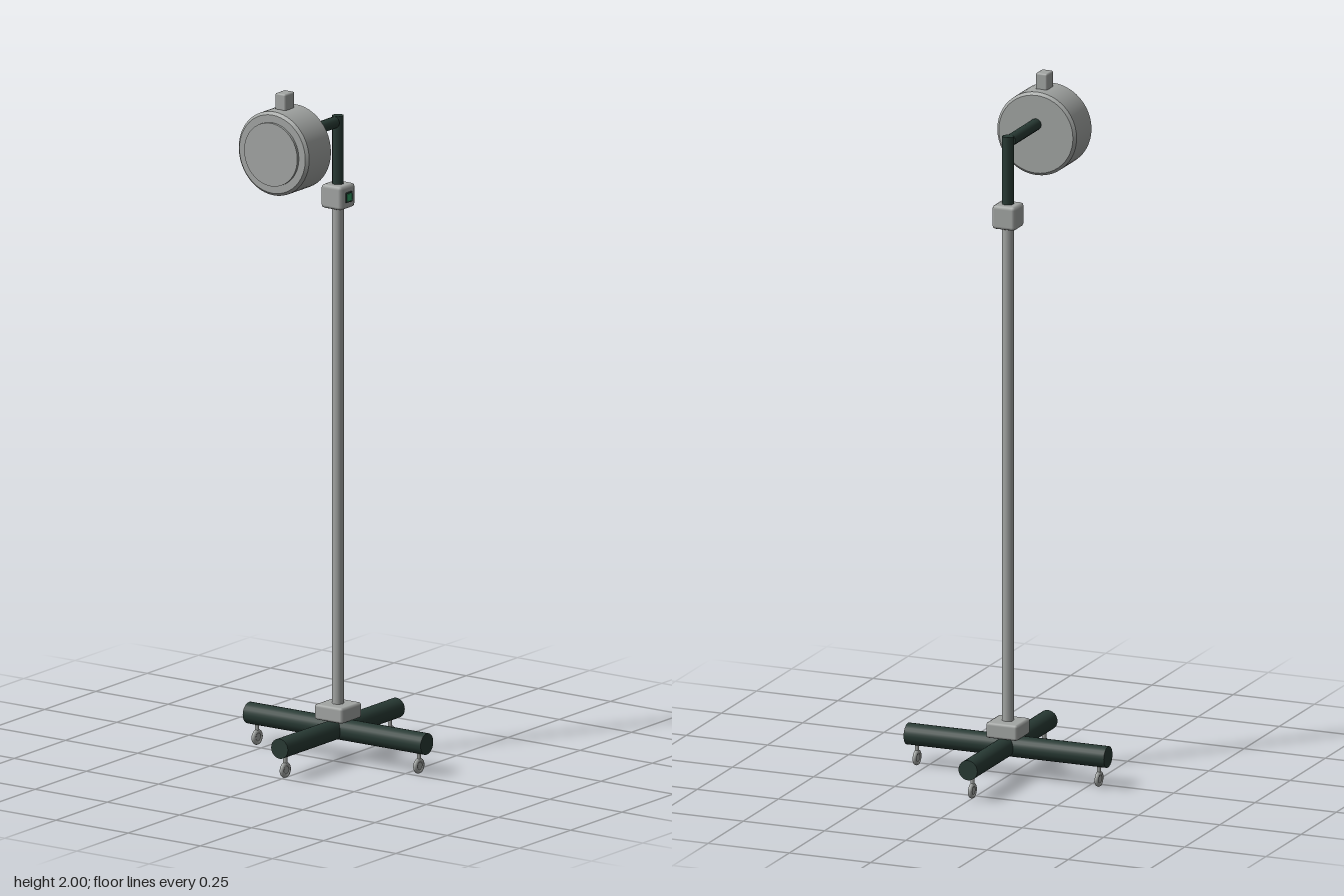
import * as THREE from 'three';
import { RoundedBoxGeometry } from 'three/addons/geometries/RoundedBoxGeometry.js';

export function createModel() {
  const model = new THREE.Group();
  model.name = 'standLamp';
  const mat = (name, color) => {
    const m = new THREE.MeshStandardMaterial({ color });
    m.name = name;
    return m;
  };
  const grey = mat('greyMetal', 0xa3a6a4);
  const dark = mat('darkGreenMetal', 0x283a34);
  const green = mat('greenButton', 0x2f9a62);
  const PZ = -0.023; // the pole stands slightly behind the centre

  const add = (name, geo, material, x, y, z, parent = model) => {
    const mesh = new THREE.Mesh(geo, material);
    mesh.name = name;
    mesh.position.set(x, y, z);
    parent.add(mesh);
    return mesh;
  };
  const rod = (r, length, axis = 'y', sides = 16) => {
    const g = new THREE.CylinderGeometry(r, r, length, sides);
    if (axis === 'x') g.rotateZ(Math.PI / 2);
    if (axis === 'z') g.rotateX(Math.PI / 2);
    return g;
  };
  const block = (w, h, d, bevel) => new RoundedBoxGeometry(w, h, d, 1, bevel);

  // Crossed feet
  add('sideFoot', rod(0.031, 0.616, 'x', 24), dark, 0, 0.09, PZ);
  add('lengthFoot', rod(0.029, 0.57, 'z', 24), dark, 0, 0.09, PZ);

  // Casters below the four ends and their forks
  for (const [x, z] of [[0.28, PZ], [-0.28, PZ], [0, 0.234], [0, -0.276]]) {
    const caster = new THREE.Group();
    caster.name = 'caster';
    caster.position.set(x, 0, z);
    model.add(caster);
    add('stem', rod(0.006, 0.026, 'y', 10), grey, 0, 0.054, 0, caster);
    const tyre = new THREE.TorusGeometry(0.0165, 0.0065, 8, 20);
    tyre.rotateY(Math.PI / 2);
    add('tyre', tyre, grey, 0, 0.023, 0, caster);
    add('hub', rod(0.014, 0.008, 'x', 16), grey, 0, 0.023, 0, caster);
  }

  // Base block, pole and collar
  add('baseBlock', block(0.098, 0.046, 0.098, 0.008), grey, 0, 0.141, PZ);
  add('pole', rod(0.017, 1.48, 'y', 12), grey, 0, 0.89, PZ);
  add('collar', block(0.072, 0.07, 0.072, 0.01), grey, 0, 1.645, PZ);

  // Button on the collar's left side
  add('buttonFrame', block(0.008, 0.03, 0.03, 0.002), dark, 0.036, 1.645, PZ);
  add('button', block(0.006, 0.022, 0.024, 0.002), green, 0.039, 1.645, PZ);

  // Bent arm
  add('armPost', rod(0.017, 0.21, 'y', 10), dark, 0, 1.773, PZ);
  add('armBeam', rod(0.017, 0.19, 'z', 12), dark, 0, 1.861, 0.088);

  // Drum-shaped head with bevelled rims
  const profile = [[0, 0], [0.114, 0], [0.114, 0], [0.122, 0.008], [0.122, 0.008],
    [0.122, 0.114], [0.122, 0.114], [0.114, 0.122], [0.114, 0.122], [0, 0.122]];
  // Each profile section is its own lathe, so the rim edges stay crisp
  const head = new THREE.Group();
  head.name = 'lampHead';
  head.position.set(0, 1.832, 0.175);
  head.rotation.x = Math.PI / 2;
  model.add(head);
  for (let i = 0; i < profile.length; i += 2) {
    const points = profile.slice(i, i + 2).map(([r, h]) => new THREE.Vector2(r, h));
    add('housing', new THREE.LatheGeometry(points, 48), grey, 0, 0, 0, head);
  }
  add('lens', rod(0.092, 0.012, 'y', 48), grey, 0, 0.124, 0, head);

  // Knob on top of the head
  add('topKnob', block(0.036, 0.05, 0.047, 0.005), grey, 0, 1.975, 0.236);

  return model;
}
